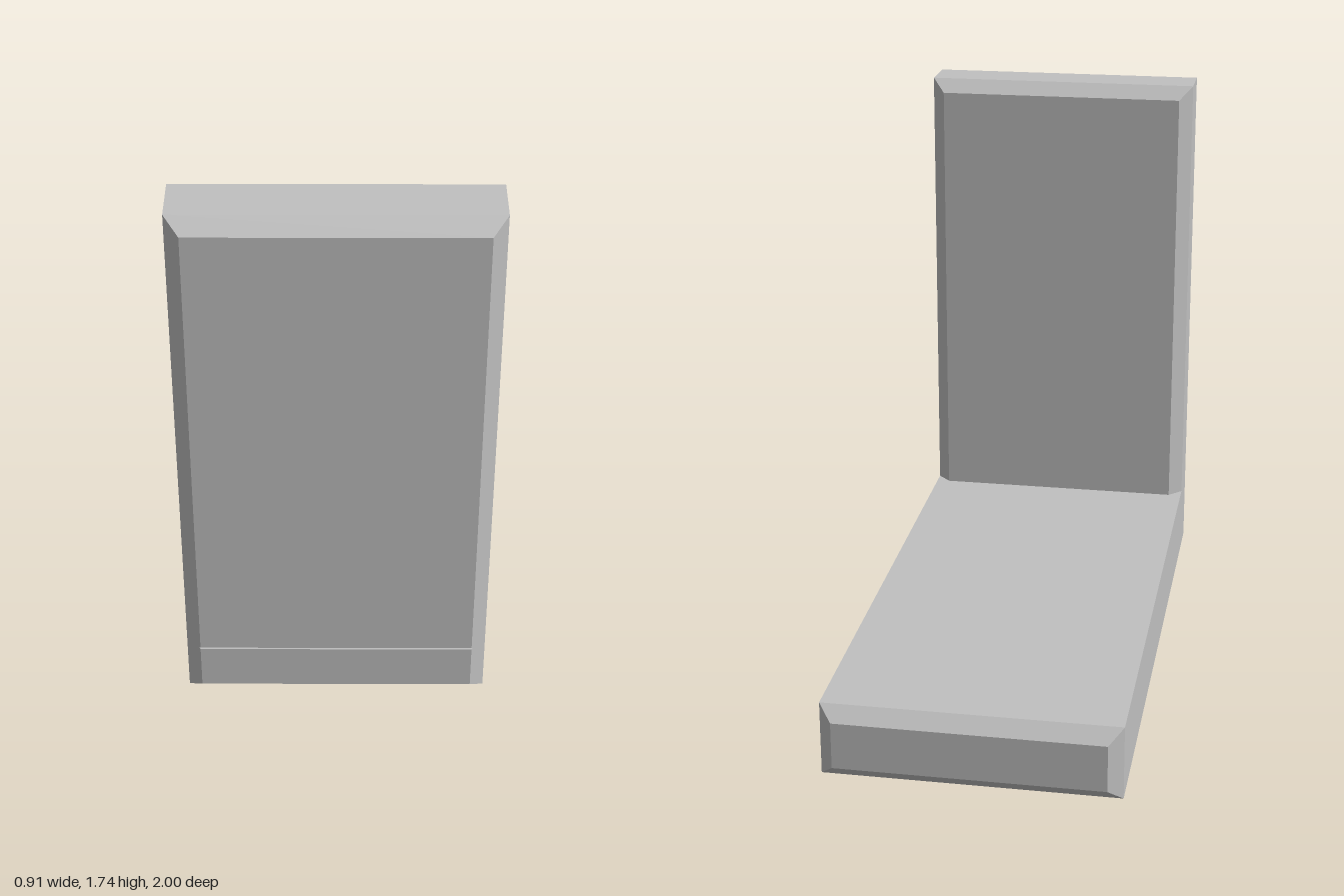
import * as THREE from 'three';

const WIDTH = 0.906, THICK = 0.235, BEVEL = 0.043;

// Slab along z whose two end faces are chamfered, centred on the origin
function chamferedSlab(width, height, depth) {
  const w = width / 2 - BEVEL, h = height / 2 - BEVEL;
  const outline = new THREE.Shape([
    new THREE.Vector2(-w, -h), new THREE.Vector2(w, -h),
    new THREE.Vector2(w, h), new THREE.Vector2(-w, h),
  ]);
  return new THREE.ExtrudeGeometry(outline, {
    depth: depth - 2 * BEVEL, bevelEnabled: true,
    bevelSize: BEVEL, bevelThickness: BEVEL, bevelSegments: 1,
  }).translate(0, 0, BEVEL - depth / 2);
}

export function createModel() {
  const model = new THREE.Group();
  model.name = 'lShapedStand';
  const grey = new THREE.MeshStandardMaterial({ color: 0xc0c0c0 });
  grey.name = 'light grey';

  // Long horizontal base
  const base = new THREE.Mesh(chamferedSlab(WIDTH, THICK, 2), grey);
  base.name = 'base';
  base.position.y = THICK / 2;

  // Upright panel at the front, its lower chamfer sunk into the base
  const bottom = 0.155, top = 1.738;
  const upright = new THREE.Mesh(chamferedSlab(WIDTH, top - bottom, THICK), grey);
  upright.name = 'uprightPanel';
  upright.position.set(0, (top + bottom) / 2, 1 - THICK / 2);

  model.add(base, upright);
  return model;
}
